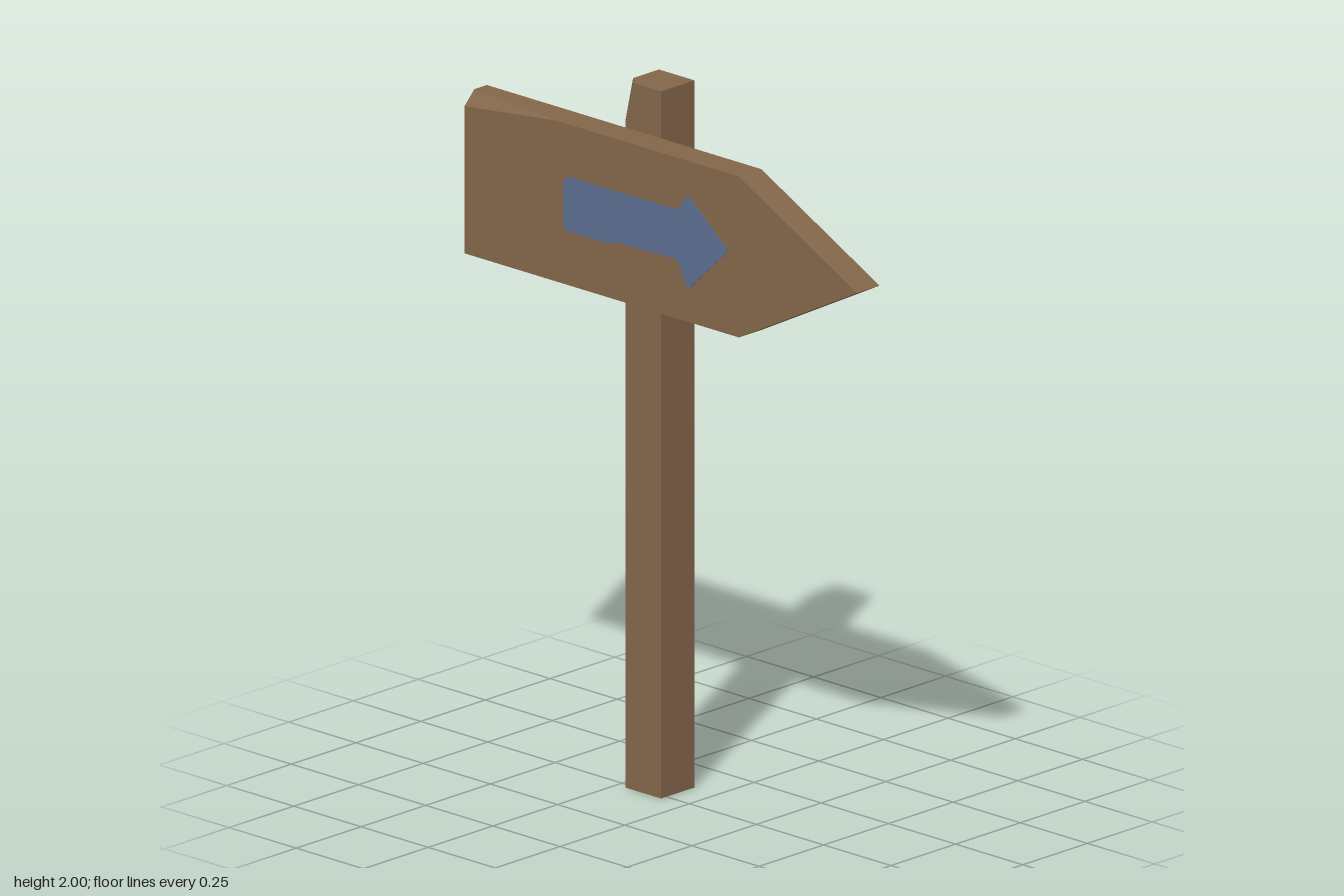
import * as THREE from 'three';
import { ConvexGeometry } from 'three/addons/geometries/ConvexGeometry.js';

const wood = new THREE.MeshStandardMaterial({ color: 0x84664a });
wood.name = 'wood';
const bluePaint = new THREE.MeshStandardMaterial({ color: 0x5a6e90 });
bluePaint.name = 'bluePaint';

// Flat-faced convex solid from its corner points
function solid(name, points) {
  const mesh = new THREE.Mesh(new ConvexGeometry(points.map((p) => new THREE.Vector3(...p))), wood);
  mesh.name = name;
  return mesh;
}

// Front and back copies of an outline
const slab = (outline, z0, z1) => outline.flatMap(([x, y]) => [[x, y, z0], [x, y, z1]]);

export function createModel() {
  const model = new THREE.Group();
  model.name = 'signpost';

  // Square post with its top front corner chipped off
  const L = -0.217, R = -0.085, back = -0.108, joint = 0.021;
  model.add(solid('post', [
    ...slab([[L, 0], [R, 0], [R, 2]], back, joint),
    [L, 2, back],
    [L, 1.89, joint], [-0.187, 2, joint], [L, 2, -0.008],
  ]));

  // Pointed board with a long chip on its top front corner
  const front = 0.108, end = -0.733, top = 1.867, bottom = 1.412;
  model.add(solid('board', [
    ...slab([[end, bottom], [0.288, bottom], [0.728, 1.64], [0.288, top]], joint, front),
    [end, top, joint],
    [end, 1.828, front], [-0.39, top, front], [end, top, 0.07],
  ]));

  // Painted arrow, slightly uneven like a brush stroke
  const outline = [
    [-0.365, 1.70], [-0.35, 1.718], [0.06, 1.721], [0.10, 1.77], [0.243, 1.655], [0.243, 1.64],
    [0.10, 1.505], [0.06, 1.58], [-0.16, 1.576], [-0.20, 1.565], [-0.35, 1.565], [-0.365, 1.583],
  ];
  const shape = new THREE.Shape(outline.map(([x, y]) => new THREE.Vector2(x, y)));
  const arrow = new THREE.Mesh(
    new THREE.ExtrudeGeometry(shape, { depth: 0.003, bevelEnabled: false }), bluePaint);
  arrow.name = 'paintedArrow';
  arrow.position.z = front - 0.001;
  model.add(arrow);

  return model;
}
